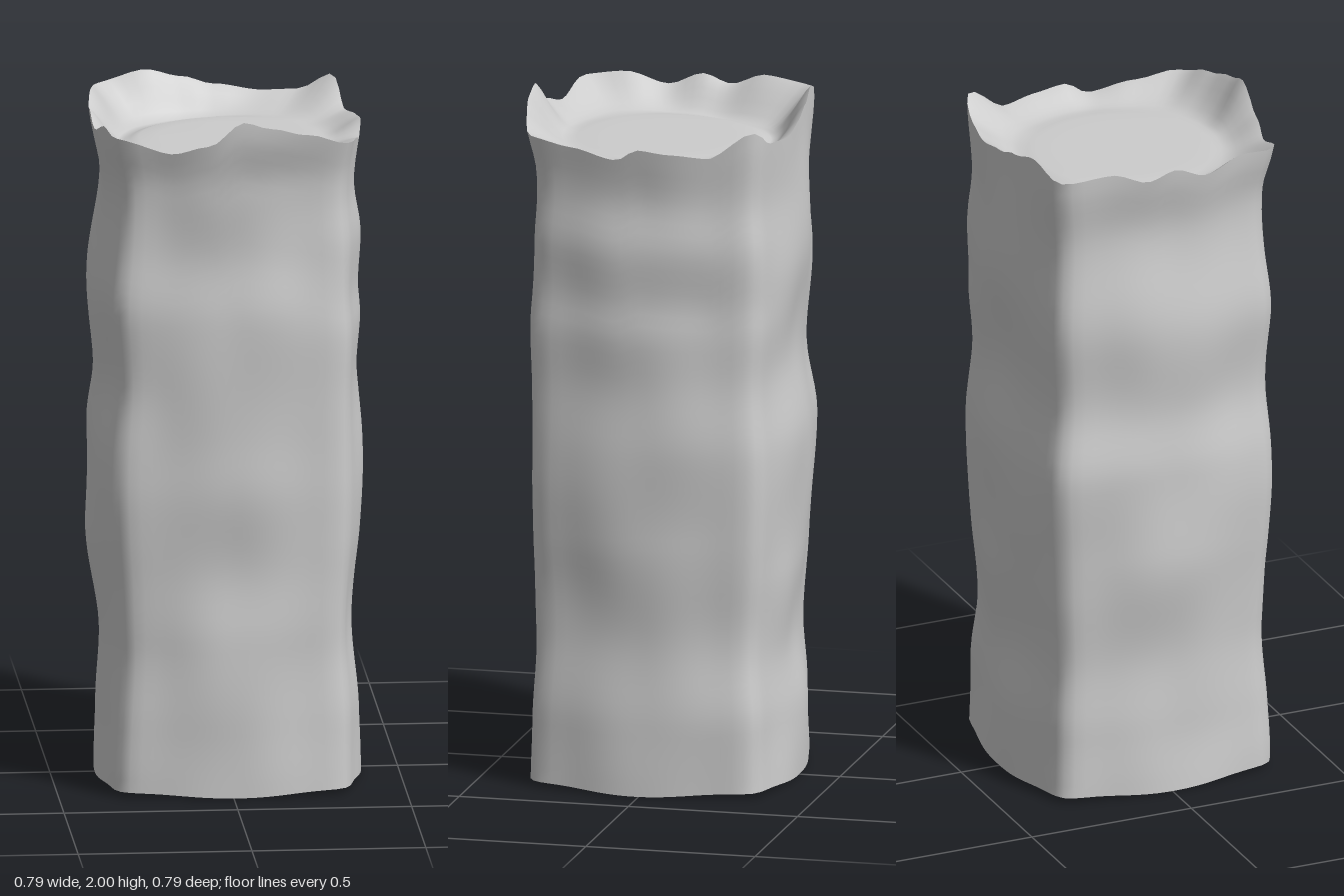
import * as THREE from 'three';

const COLS = 96;
const { lerp, radToDeg, smoothstep } = THREE.MathUtils;

// rim height by angle in degrees, measured from +x towards +z
const RIM = [
  [0, 1.91], [10, 1.875], [30, 1.9], [45, 1.92], [60, 1.955], [75, 1.98], [86, 2.0],
  [101, 1.93], [116, 1.905], [135, 1.945], [148, 1.955], [165, 1.92], [180, 1.955],
  [192, 1.93], [207, 1.965], [225, 1.95], [241, 1.98], [256, 1.955], [270, 1.93],
  [290, 1.91], [304, 1.915], [316, 1.965], [331, 1.89], [346, 1.9], [360, 1.91],
];

// how far the middle of each side stands out, by height
const SIDES = {
  left: [[0, 0.386], [0.2, 0.384], [0.45, 0.366], [0.75, 0.388], [1, 0.393], [1.2, 0.383],
    [1.35, 0.389], [1.45, 0.38], [1.6, 0.39], [1.75, 0.37], [1.95, 0.392], [2.1, 0.392]],
  right: [[0, 0.372], [0.2, 0.364], [0.4, 0.357], [0.75, 0.392], [1, 0.393], [1.2, 0.37],
    [1.45, 0.39], [1.75, 0.356], [1.95, 0.386], [2.1, 0.386]],
  front: [[0, 0.376], [0.2, 0.372], [0.45, 0.366], [0.65, 0.354], [0.9, 0.371], [1.05, 0.366],
    [1.4, 0.374], [1.6, 0.354], [1.8, 0.363], [1.97, 0.394], [2.1, 0.394]],
  back: [[0, 0.381], [0.2, 0.379], [0.4, 0.358], [0.65, 0.374], [1, 0.394], [1.25, 0.365],
    [1.55, 0.389], [1.75, 0.384], [1.95, 0.383], [2.1, 0.383]],
};

// eased lookup in a table of [key, value]
function lookup(table, x) {
  const k = Math.max(1, table.findIndex((p) => p[0] >= x));
  const [x0, v0] = table[k - 1], [x1, v1] = table[k];
  return lerp(v0, v1, smoothstep(x, x0, x1));
}

const rimHeight = (a) => lookup(RIM, radToDeg(a));

// square plan with bulging sides and tight corners
function planRadius(a, y) {
  const c = Math.cos(a), s = Math.sin(a), p = 12;
  const half = lerp(
    lookup(s > 0 ? SIDES.front : SIDES.back, y),
    lookup(c > 0 ? SIDES.left : SIDES.right, y),
    c * c,
  );
  const square = (Math.abs(c) ** p + Math.abs(s) ** p) ** (1 / p);
  return (half - 0.036 * Math.abs(Math.sin(2 * a)) ** 3) / square;
}

// soft diagonal crumples running around the body
function crumple(a, y) {
  return 0.003 * Math.sin(8 * y + 3 * a)
    + 0.002 * Math.sin(13 * y + 5 * a + 1.3)
    + 0.002 * Math.sin(9 * y - 6 * a + 2.1);
}

// joins closed rings of points; point(row, angle) returns [radius, y]
function loft(rows, point, material, name) {
  const pos = [], index = [];
  for (let i = 0; i < rows; i++) {
    for (let j = 0; j < COLS; j++) {
      const a = (j / COLS) * Math.PI * 2;
      const [r, y] = point(i, a);
      pos.push(r * Math.cos(a), y, r * Math.sin(a));
    }
  }
  for (let i = 0; i < rows - 1; i++) {
    for (let j = 0; j < COLS; j++) {
      const n = (j + 1) % COLS;
      const a = i * COLS + j, b = i * COLS + n, c = a + COLS, d = b + COLS;
      index.push(a, c, b, b, c, d);
    }
  }
  const geo = new THREE.BufferGeometry();
  geo.setAttribute('position', new THREE.Float32BufferAttribute(pos, 3));
  geo.setIndex(index);
  geo.computeVertexNormals();
  const mesh = new THREE.Mesh(geo, material);
  mesh.name = name;
  return mesh;
}

export function createModel() {
  const group = new THREE.Group();
  group.name = 'crumpledBlock';
  const grey = new THREE.MeshStandardMaterial({ color: 0xcccccc, side: THREE.DoubleSide });
  grey.name = 'plain grey';

  // outer walls, from the bottom edge (lifted at the corners) to the ragged rim
  const WALL = 56;
  const wall = (i, a) => {
    const foot = 0.002 + 0.014 * Math.sin(2 * a) ** 2;
    const y = lerp(foot, rimHeight(a), i / (WALL - 1));
    return [planRadius(a, y) + crumple(a, y), y];
  };
  group.add(loft(WALL, wall, grey, 'walls'));

  // square outline at the edge turning into a circle further in
  const inset = (s, edge) => s * lerp(0.37, edge, smoothstep(s, 0.68, 1));

  // sunken top: sloping lip, then a trough, deepest at the back right, around a round middle
  // each row: share of the radius, share of the rim height, share of the trough depth
  const top = [[1, 1, 0], [0.97, 0.88, 0], [0.93, 0.65, 0.1], [0.89, 0.42, 0.4], [0.85, 0.22, 0.8],
    [0.81, 0.08, 1], [0.77, 0.02, 0.8], [0.72, 0, 0.35], [0.66, 0, 0.08], [0.5, 0, 0], [0, 0, 0]];
  group.add(loft(top.length, (i, a) => {
    const [s, h, t] = top[i];
    const [edge, rim] = wall(WALL - 1, a);
    const trough = 0.006 + 0.024 * Math.max(0, Math.cos(a - 1.25 * Math.PI)) ** 2;
    return [inset(s, edge), lerp(1.865, rim, h) - trough * t];
  }, grey, 'sunkenTop'));

  // underside with a shallow round hollow
  const base = [[0, 0.025], [0.5, 0.025], [0.7, 0.022], [0.78, 0.008], [0.88, 0], [1, 0]];
  group.add(loft(base.length, (i, a) => {
    const [s, y] = base[i];
    const [edge, foot] = wall(0, a);
    return [inset(s, edge), s === 1 ? foot : y];
  }, grey, 'underside'));

  return group;
}
